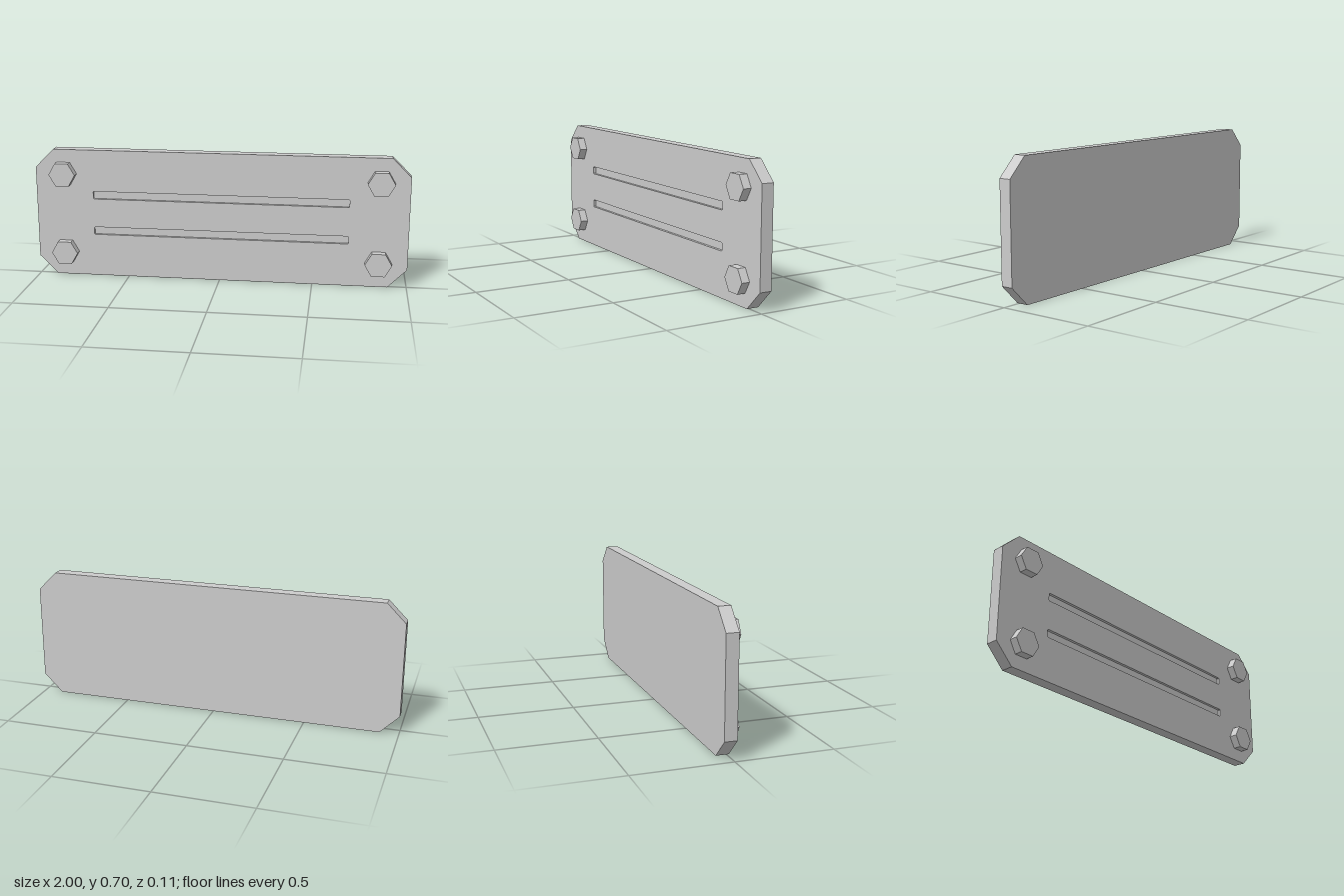
import * as THREE from 'three';

const FRONT = 0.011, BACK = -0.053, GROOVE_DEPTH = 0.015;
const GROOVES = [0.253, 0.452];

// Rectangle with its four corners cut off
function cutRect(target, halfW, y0, y1, cut) {
  const corners = [
    [-halfW + cut, y0], [halfW - cut, y0], [halfW, y0 + cut], [halfW, y1 - cut],
    [halfW - cut, y1], [-halfW + cut, y1], [-halfW, y1 - cut], [-halfW, y0 + cut],
  ];
  target.setFromPoints(corners.map(([x, y]) => new THREE.Vector2(x, y)));
  target.closePath();
  return target;
}

export function createModel() {
  const group = new THREE.Group();
  const metal = new THREE.MeshStandardMaterial({ color: 0xcccccc });
  metal.name = 'light grey metal';

  function addSlab(name, shape, back, front) {
    const geometry = new THREE.ExtrudeGeometry(shape, { depth: front - back, bevelEnabled: false });
    const mesh = new THREE.Mesh(geometry, metal);
    mesh.name = name;
    mesh.position.z = back;
    group.add(mesh);
  }

  // Solid back layer, and a front layer pierced by the two grooves
  const outline = () => cutRect(new THREE.Shape(), 1, 0, 0.7, 0.1);
  addSlab('backPlate', outline(), BACK, FRONT - GROOVE_DEPTH);
  const face = outline();
  for (const y of GROOVES) {
    face.holes.push(cutRect(new THREE.Path(), 0.687, y - 0.021, y + 0.021, 0.004));
  }
  addSlab('groovedFrontPlate', face, FRONT - GROOVE_DEPTH, FRONT);

  // Hexagonal bolt heads, points to the sides
  const hex = new THREE.CylinderGeometry(0.0715, 0.0715, 0.043, 6).toNonIndexed();
  hex.rotateY(Math.PI / 2);
  hex.rotateX(Math.PI / 2);
  hex.computeVertexNormals();
  for (const x of [-0.847, 0.847]) {
    for (const y of [0.132, 0.568]) {
      const bolt = new THREE.Mesh(hex, metal);
      bolt.name = 'boltHead';
      bolt.position.set(x, y, FRONT + 0.0215);
      group.add(bolt);
    }
  }
  return group;
}
